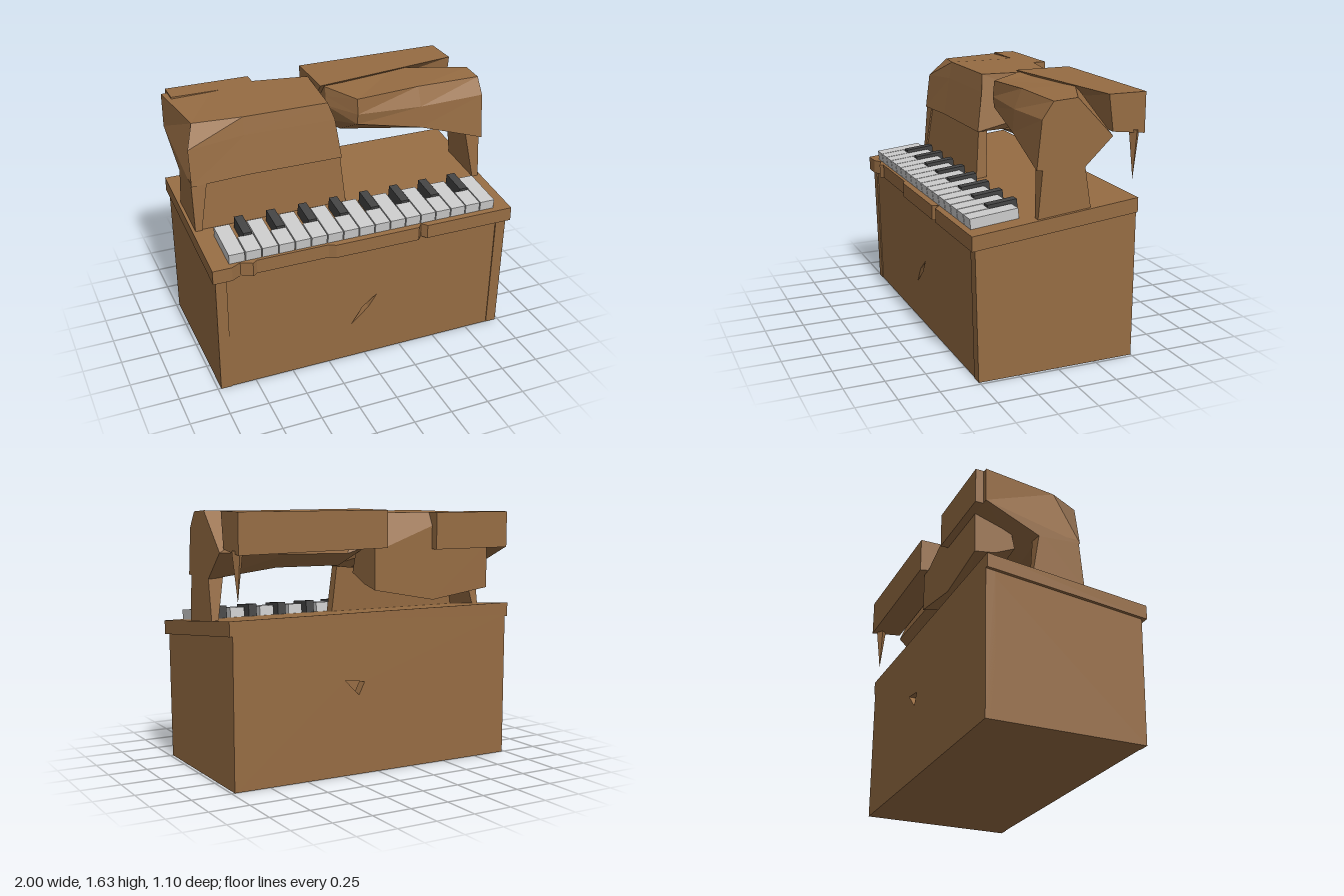
import * as THREE from 'three';

const wood = new THREE.MeshStandardMaterial({ color: 0x966c43, flatShading: true, side: THREE.DoubleSide });
const ivory = new THREE.MeshStandardMaterial({ color: 0xcccccc, flatShading: true });
const ebony = new THREE.MeshStandardMaterial({ color: 0x444444, flatShading: true });

const SLOPE = 0.105; // rise of the top board towards the back
const topAt = z => 0.9575 - SLOPE * z;

function add(parent, name, geometry, material = wood) {
  const mesh = new THREE.Mesh(geometry, material);
  mesh.name = name;
  parent.add(mesh);
}

function group(parent, name) {
  const g = new THREE.Group();
  g.name = name;
  parent.add(g);
  return g;
}

// Solid through cross-sections in order of rising x; each lists [z, y, shift in x]
// from the lower front, up and over to the back
function loft(...sections) {
  const n = sections[0][1].length, pos = [], idx = [];
  for (const [x, pts] of sections) for (const [z, y, dx = 0] of pts) pos.push(x + dx, y, z);
  for (let i = 0; i < sections.length - 1; i++) {
    for (let j = 0; j < n; j++) {
      const a = i * n + j, b = i * n + (j + 1) % n;
      idx.push(a, a + n, b + n, a, b + n, b);
    }
  }
  const cap = (s, flip) => {
    const contour = sections[s][1].map(([z, y]) => new THREE.Vector2(z, y));
    for (const [a, b, c] of THREE.ShapeUtils.triangulateShape(contour, [])) {
      const o = s * n;
      idx.push(o + a, o + (flip ? c : b), o + (flip ? b : c));
    }
  };
  cap(0, false);
  cap(sections.length - 1, true);
  const g = new THREE.BufferGeometry();
  g.setAttribute('position', new THREE.Float32BufferAttribute(pos, 3));
  g.setIndex(idx);
  const flat = g.toNonIndexed();
  flat.computeVertexNormals();
  return flat;
}

const prism = (x0, x1, profile) => loft([x0, profile], [x1, profile]);
const outline = pts => new THREE.Shape(pts.map(p => new THREE.Vector2(...p)));

// Upright board with one broken-out hole, its rear face at z
function board(halfWidth, height, hole, z) {
  const shape = outline([[-halfWidth, 0], [halfWidth, 0], [halfWidth, height], [-halfWidth, height]]);
  shape.holes.push(outline(hole));
  return new THREE.ExtrudeGeometry(shape, { depth: 0.06, bevelEnabled: false }).translate(0, 0, z);
}

function buildCabinet(root) {
  const g = group(root, 'cabinet');
  // The front leans outwards towards the top
  const front = board(0.92, 0.84, [[-0.1, 0.25], [0.02, 0.36], [0.08, 0.45], [-0.02, 0.37]], 0.44);
  front.applyMatrix4(new THREE.Matrix4().makeShear(0, 0, 0, 0.02, 0, 0));
  add(g, 'frontPanel', front);
  add(g, 'backPanel', board(0.98, 0.93, [[0.14, 0.5], [0.24, 0.6], [0.1, 0.58]], -0.5));
  add(g, 'bottomBoard', new THREE.BoxGeometry(1.9, 0.05, 0.96).translate(0, 0.025, 0));
  // Side boards, slanted under the top
  const side = [[0.505, 0], [0.525, 0.83], [-0.5, 0.93], [-0.5, 0]];
  add(g, 'leftSide', prism(0.91, 0.98, side));
  add(g, 'rightSide', prism(-0.98, -0.91, side));
}

function buildTopBoard(root) {
  // Outline in x, z with a chipped front edge, then sloped up to the back
  const shape = outline([[-1, -0.5], [1, -0.5], [1, 0.55], [0.4, 0.55], [0.37, 0.515], [0.34, 0.55],
    [-0.22, 0.55], [-0.26, 0.53], [-0.72, 0.53], [-0.75, 0.55], [-0.82, 0.52], [-0.88, 0.55], [-1, 0.55]]);
  const geo = new THREE.ExtrudeGeometry(shape, { depth: 0.09, bevelEnabled: false }).rotateX(Math.PI / 2);
  const p = geo.attributes.position;
  for (let i = 0; i < p.count; i++) p.setY(i, p.getY(i) + topAt(p.getZ(i)));
  geo.computeVertexNormals();
  add(root, 'topBoard', geo);
}

function buildKeyboard(root) {
  const g = group(root, 'keyboard');
  g.position.y = topAt(0);
  g.rotation.x = Math.atan(SLOPE);
  const pitch = 1.78 / 17;
  for (let i = 0; i < 17; i++) {
    const x = -0.89 + (i + 0.5) * pitch, odd = i % 2 === 1;
    const length = odd ? 0.16 : 0.3;
    add(g, 'whiteKey', new THREE.BoxGeometry(0.098, 0.07, length).translate(x, 0.028, 0.515 - length / 2), ivory);
    if (odd) add(g, 'blackKey', new THREE.BoxGeometry(0.055, 0.08, 0.185).translate(x + 0.015, 0.04, 0.265), ebony);
  }
}

// Post at either end, narrowing towards the top board
function endPost(side) {
  const outer = [side * 0.98, [[0.14, 0.93], [0.11, 1.26], [-0.15, 1.26], [-0.2, 0.96]]];
  const inner = [side * 0.88, [[0.14, 0.93, side * 0.06], [0.11, 1.26], [-0.15, 1.26], [-0.2, 0.96, side * 0.06]]];
  return side > 0 ? loft(inner, outer) : loft(outer, inner);
}

function buildRightHalf(root) {
  const g = group(root, 'rightUpperHalf');
  add(g, 'musicPanel', loft(
    [-0.95, [[0.13, 0.93], [0.1, 1.27], [0.04, 1.27], [0.06, 0.93]]],
    [-0.01, [[0.13, 0.93, 0.03], [0.1, 1.27], [0.04, 1.27], [0.06, 0.93, 0.03]]]));
  // Lid with its rounded outer end and ragged inner end
  add(g, 'rightLid', loft(
    [-0.98, [[0.12, 1.24], [0.09, 1.47], [-0.02, 1.59, 0.06], [-0.5, 1.6], [-0.5, 1.38], [-0.15, 1.22]]],
    [-0.62, [[0.11, 1.25], [0.07, 1.5], [0.05, 1.61], [-0.5, 1.61], [-0.5, 1.38], [-0.1, 1.25]]],
    [-0.03, [[0.11, 1.25, 0.03], [0.07, 1.5], [0.05, 1.61, -0.04], [-0.4, 1.61], [-0.5, 1.38, 0.04], [-0.1, 1.25]]]));
  add(g, 'rightLidBack', new THREE.BoxGeometry(0.55, 0.23, 0.15).translate(-0.665, 1.495, -0.475));
  // Broken back panel overhanging the top board
  add(g, 'backOverhang', loft(
    [-0.82, [[-0.24, 1.2], [-0.28, 1.4], [-0.5, 1.4], [-0.5, 1.12], [-0.37, 1.14]]],
    [-0.4, [[-0.23, 1.16], [-0.28, 1.4], [-0.5, 1.4], [-0.5, 1.06], [-0.37, 1.1]]],
    [0.03, [[-0.23, 1.23], [-0.28, 1.4], [-0.5, 1.4], [-0.5, 1.14], [-0.37, 1.17]]]));
  add(g, 'rightEndPost', endPost(-1));
}

function buildLeftHalf(root) {
  const g = group(root, 'leftUpperHalf');
  // Tilted front of the lid, deepening towards the outer end
  add(g, 'leftLidFront', loft(
    [0, [[-0.15, 1.5], [-0.16, 1.56], [-0.17, 1.62], [-0.25, 1.63], [-0.35, 1.4], [-0.25, 1.37]]],
    [0.13, [[0.05, 1.43], [0.06, 1.5], [0.05, 1.6], [-0.3, 1.62], [-0.34, 1.36], [-0.23, 1.28]]],
    [0.55, [[0.11, 1.36], [0.1, 1.5], [0.05, 1.62], [-0.3, 1.62], [-0.34, 1.37], [-0.2, 1.28]]],
    [0.98, [[0.15, 1.23], [0.12, 1.52], [0.05, 1.62], [-0.1, 1.63], [-0.33, 1.39], [-0.15, 1.22]]]));
  add(g, 'leftLidBack', loft(
    [-0.03, [[-0.34, 1.43], [-0.17, 1.63], [-0.55, 1.63], [-0.55, 1.4]]],
    [0.96, [[-0.34, 1.41], [-0.31, 1.63], [-0.55, 1.63], [-0.55, 1.385]]]));
  add(g, 'leftEndPost', endPost(1));
  // Splinter hanging from the rear corner
  add(g, 'splinter', new THREE.ConeGeometry(0.035, 0.3, 4).rotateX(Math.PI).translate(0.94, 1.26, -0.49));
}

export function createModel() {
  const root = new THREE.Group();
  root.name = 'brokenPiano';
  buildCabinet(root);
  buildTopBoard(root);
  buildKeyboard(root);
  buildRightHalf(root);
  buildLeftHalf(root);
  return root;
}
